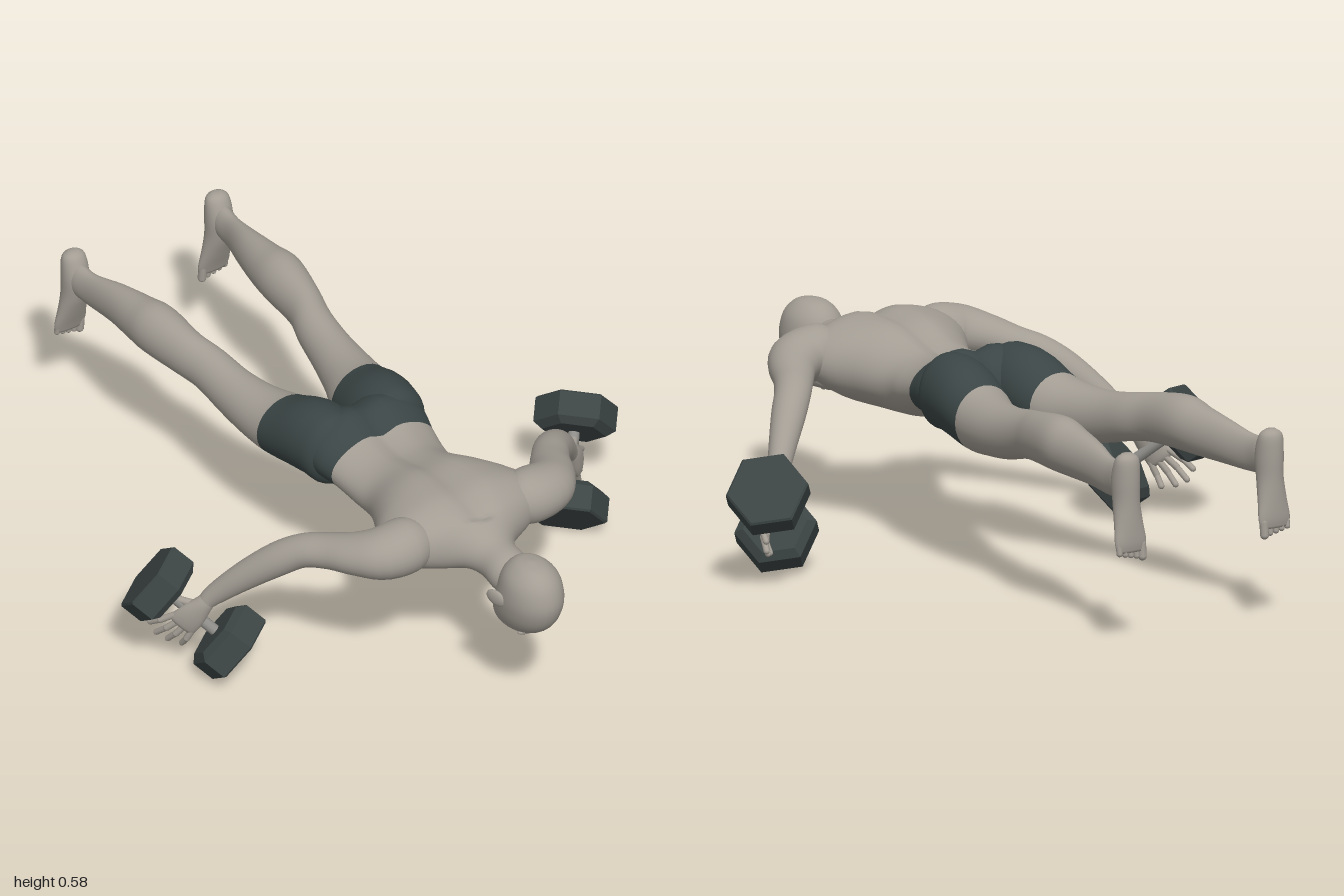
import * as THREE from 'three';
import { mergeVertices } from 'three/addons/utils/BufferGeometryUtils.js';

const V = (x, y, z) => new THREE.Vector3(x, y, z);
const X = V(1, 0, 0), Y = V(0, 1, 0), Z = V(0, 0, 1);
const mat = (name, color) => {
  const m = new THREE.MeshStandardMaterial({ color });
  m.name = name;
  return m;
};

// Smooth skin through oval rings [x, y, z, rx, ry]. dir fixes the ring plane;
// without it the rings follow the path. split = ring where the material changes.
function loft(rings, { dir, ref = Y, split, deform, n = 28, steps = 4 }) {
  const path = new THREE.CatmullRomCurve3(rings.map(r => V(r[0], r[1], r[2])), false, 'catmullrom', 0.5);
  const size = new THREE.CatmullRomCurve3(rings.map(r => V(r[3], r[4], 0)), false, 'catmullrom', 0.5);
  const rows = (rings.length - 1) * steps, pos = [], idx = [];
  for (let i = 0; i <= rows; i++) {
    const c = path.getPoint(i / rows), s = size.getPoint(i / rows);
    const t = dir || path.getTangent(i / rows);
    const u = ref.clone().cross(t).normalize(), v = t.clone().cross(u).normalize();
    for (let j = 0; j < n; j++) {
      const a = j / n * Math.PI * 2;
      const p = c.clone().addScaledVector(u, Math.cos(a) * Math.max(s.x, 0.002))
        .addScaledVector(v, Math.sin(a) * Math.max(s.y, 0.002));
      if (deform) deform(p, c);
      pos.push(p.x, p.y, p.z);
    }
  }
  const first = pos.length / 3;
  [0, 1].forEach(t => pos.push(...path.getPoint(t).toArray()));
  for (let j = 0; j < n; j++) idx.push(first, (j + 1) % n, j);
  for (let i = 0; i < rows; i++) {
    for (let j = 0; j < n; j++) {
      const k = (j + 1) % n, a = i * n + j, b = i * n + k;
      idx.push(a, b, a + n, b, b + n, a + n);
    }
  }
  for (let j = 0; j < n; j++) idx.push(first + 1, rows * n + j, rows * n + (j + 1) % n);
  const g = new THREE.BufferGeometry();
  g.setAttribute('position', new THREE.Float32BufferAttribute(pos, 3));
  g.setIndex(idx);
  g.computeVertexNormals();
  if (split) {
    const cut = (split * steps * 2 + 1) * n * 3;
    g.addGroup(0, cut, 0);
    g.addGroup(cut, idx.length - cut, 1);
  }
  return g;
}

// Rounded bar between two points
function bar(p, q, r) {
  const d = q.clone().sub(p), g = new THREE.CapsuleGeometry(r, d.length(), 5, 10);
  g.applyQuaternion(new THREE.Quaternion().setFromUnitVectors(Y, d.normalize()));
  return g.translate((p.x + q.x) / 2, (p.y + q.y) / 2, (p.z + q.z) / 2);
}

function ball(x, y, z, a, b, c) {
  return new THREE.SphereGeometry(1, 20, 14).scale(a, b, c).translate(x, y, z);
}

function mirrored(g) {
  const m = g.clone().applyMatrix4(new THREE.Matrix4().makeScale(-1, 1, 1)), ix = m.index;
  for (let i = 0; i < ix.count; i += 3) {
    const a = ix.getX(i);
    ix.setX(i, ix.getX(i + 2));
    ix.setX(i + 2, a);
  }
  return m;
}

export function createModel() {
  const model = new THREE.Group();
  model.name = 'proneFigure';
  const skin = mat('skin grey', 0xa39d94), cloth = mat('shorts dark', 0x3b4545);
  const iron = mat('iron dark', 0x3c4444), steel = mat('steel grey', 0x8f8e8a);
  const add = (name, g, m) => {
    const mesh = new THREE.Mesh(g, m);
    mesh.name = name;
    model.add(mesh);
  };
  const pair = (name, g, m) => {
    add('left' + name, g, m);
    add('right' + name, mirrored(g), m);
  };

  // Torso from crotch to neck, with a groove along the spine
  add('torso', loft([
    [0, 0.475, 0, 0.05, 0.05], [0, 0.48, 0.03, 0.15, 0.09], [0, 0.485, 0.1, 0.183, 0.112],
    [0, 0.47, 0.18, 0.168, 0.09], [0, 0.455, 0.26, 0.154, 0.094], [0, 0.455, 0.33, 0.15, 0.108],
    [0, 0.47, 0.42, 0.19, 0.123], [0, 0.477, 0.5, 0.238, 0.124], [0, 0.488, 0.57, 0.25, 0.112],
    [0, 0.49, 0.63, 0.2, 0.09], [0, 0.48, 0.68, 0.1, 0.07], [0, 0.465, 0.73, 0.062, 0.06],
    [0, 0.455, 0.8, 0.06, 0.06], [0, 0.45, 0.86, 0.03, 0.03]], {
    dir: Z, split: 3, n: 48,
    deform: (p, c) => {
      if (p.y > c.y && p.z < 0.66) p.y -= 0.022 * Math.exp(-((p.x / 0.035) ** 2));
    },
  }), [cloth, skin]);

  // Head, face down
  add('head', loft([
    [0, 0.556, 0.895, 0.008, 0.01], [0, 0.545, 0.895, 0.042, 0.056], [0, 0.51, 0.895, 0.072, 0.09],
    [0, 0.455, 0.892, 0.083, 0.107], [0, 0.405, 0.878, 0.08, 0.11], [0, 0.365, 0.857, 0.07, 0.105],
    [0, 0.338, 0.84, 0.056, 0.088], [0, 0.326, 0.835, 0.035, 0.066], [0, 0.324, 0.835, 0.01, 0.02]],
  { dir: V(0, -1, 0), ref: Z }), skin);
  add('nose', bar(V(0, 0.33, 0.872), V(0, 0.32, 0.838), 0.01), skin);
  add('lips', ball(0, 0.327, 0.797, 0.024, 0.009, 0.011), skin);
  add('chin', ball(0, 0.342, 0.768, 0.03, 0.018, 0.022), skin);
  add('brow', ball(0, 0.336, 0.9, 0.048, 0.012, 0.014), skin);
  pair('Ear', ball(0, 0, 0, 0.01, 0.024, 0.034).rotateY(-0.25).translate(0.086, 0.442, 0.853), skin);

  // Legs, shorts above the hem
  pair('Leg', loft([
    [0.09, 0.475, 0.15, 0.03, 0.03], [0.1, 0.48, 0.11, 0.085, 0.1], [0.104, 0.485, 0.05, 0.098, 0.108],
    [0.11, 0.475, -0.02, 0.1, 0.107], [0.122, 0.45, -0.11, 0.094, 0.092], [0.143, 0.447, -0.2, 0.077, 0.08],
    [0.158, 0.455, -0.3, 0.063, 0.073], [0.17, 0.475, -0.4, 0.057, 0.068], [0.19, 0.488, -0.48, 0.055, 0.07],
    [0.203, 0.497, -0.6, 0.066, 0.077], [0.207, 0.49, -0.68, 0.058, 0.07], [0.215, 0.482, -0.78, 0.042, 0.062],
    [0.23, 0.47, -0.88, 0.027, 0.053], [0.235, 0.475, -0.94, 0.03, 0.05], [0.235, 0.48, -0.975, 0.02, 0.03]],
  { dir: V(0, 0, -1), split: 4 }), [cloth, skin]);

  // Feet hanging toes down
  pair('Foot', loft([
    [0.235, 0.553, -0.965, 0.015, 0.012], [0.235, 0.535, -0.965, 0.034, 0.03], [0.235, 0.48, -0.958, 0.039, 0.041],
    [0.235, 0.42, -0.961, 0.038, 0.037], [0.235, 0.36, -0.972, 0.044, 0.027], [0.235, 0.31, -0.982, 0.05, 0.017],
    [0.235, 0.282, -0.985, 0.045, 0.01]], { dir: V(0, -1, 0), ref: Z }), skin);
  for (let i = 0; i < 5; i++) {
    const x = 0.2 + i * 0.0185, r = i ? 0.0085 : 0.012;
    pair('Toe' + (i + 1), bar(V(x, 0.3, -0.984), V(x, 0.265 + i * 0.004, -0.987), r), skin);
  }

  // Arms, bent at the elbow
  pair('Arm', loft([
    [0.12, 0.5, 0.57, 0.03, 0.03], [0.18, 0.5, 0.58, 0.075, 0.075], [0.26, 0.495, 0.572, 0.08, 0.072],
    [0.315, 0.485, 0.525, 0.067, 0.058], [0.36, 0.47, 0.455, 0.055, 0.048], [0.405, 0.452, 0.393, 0.05, 0.046],
    [0.455, 0.41, 0.34, 0.047, 0.047], [0.52, 0.34, 0.275, 0.037, 0.04], [0.575, 0.27, 0.22, 0.027, 0.03],
    [0.6, 0.235, 0.2, 0.023, 0.022]], {}), skin);

  // Hands laid over the handle, fingers spread along its axis
  const axis = V(0.52, 0.6, -0.6).normalize(), reach = V(0.48, -0.72, -0.51).normalize();
  const back = V(0.74, 0.02, 0.66).normalize();
  pair('Palm', loft([
    [0.583, 0.262, 0.214, 0.02, 0.02], [0.603, 0.235, 0.203, 0.027, 0.022], [0.628, 0.2, 0.187, 0.038, 0.018],
    [0.646, 0.17, 0.17, 0.041, 0.014], [0.652, 0.16, 0.165, 0.034, 0.008]], { ref: back, n: 20 }), skin);
  const knuckle = V(0.644, 0.174, 0.17);
  [0.08, 0.095, 0.088, 0.07].forEach((len, i) => {
    const s = 1.5 - i;
    const base = knuckle.clone().addScaledVector(axis, s * 0.021);
    const mid = base.clone().addScaledVector(reach, len * 0.55).addScaledVector(axis, s * 0.008);
    const tip = mid.clone().addScaledVector(reach, len * 0.45).addScaledVector(axis, s * 0.005).addScaledVector(back, -0.014);
    pair('Finger' + (i + 1), bar(base, mid, 0.0095), skin);
    pair('Fingertip' + (i + 1), bar(mid, tip, 0.0085), skin);
  });
  pair('Thumb', bar(V(0.612, 0.23, 0.19), V(0.645, 0.235, 0.148), 0.011), skin);

  // Dumbbells: six-sided heads with a chamfered inner side
  const outer = V(0.68, 0.27, 0.105), inner = V(0.555, 0.122, 0.25);
  pair('Handle', bar(inner, outer, 0.016), steel);
  const profile = [[0, -0.045], [0.088, -0.045], [0.113, -0.027], [0.113, 0.04], [0.107, 0.045], [0, 0.045]]
    .map(p => new THREE.Vector2(...p));
  [[outer, 1, 'OuterWeight'], [inner, -1, 'InnerWeight']].forEach(([c, sign, name]) => {
    const y = axis.clone().multiplyScalar(sign);
    const x = y.clone().cross(V(-0.093, 0.017, -0.064)).normalize();
    const g = new THREE.LatheGeometry(profile, 6).toNonIndexed();
    g.applyMatrix4(new THREE.Matrix4().makeBasis(x, y, x.clone().cross(y)).setPosition(c));
    g.computeVertexNormals();
    pair(name, mergeVertices(g), iron);
  });
  return model;
}
